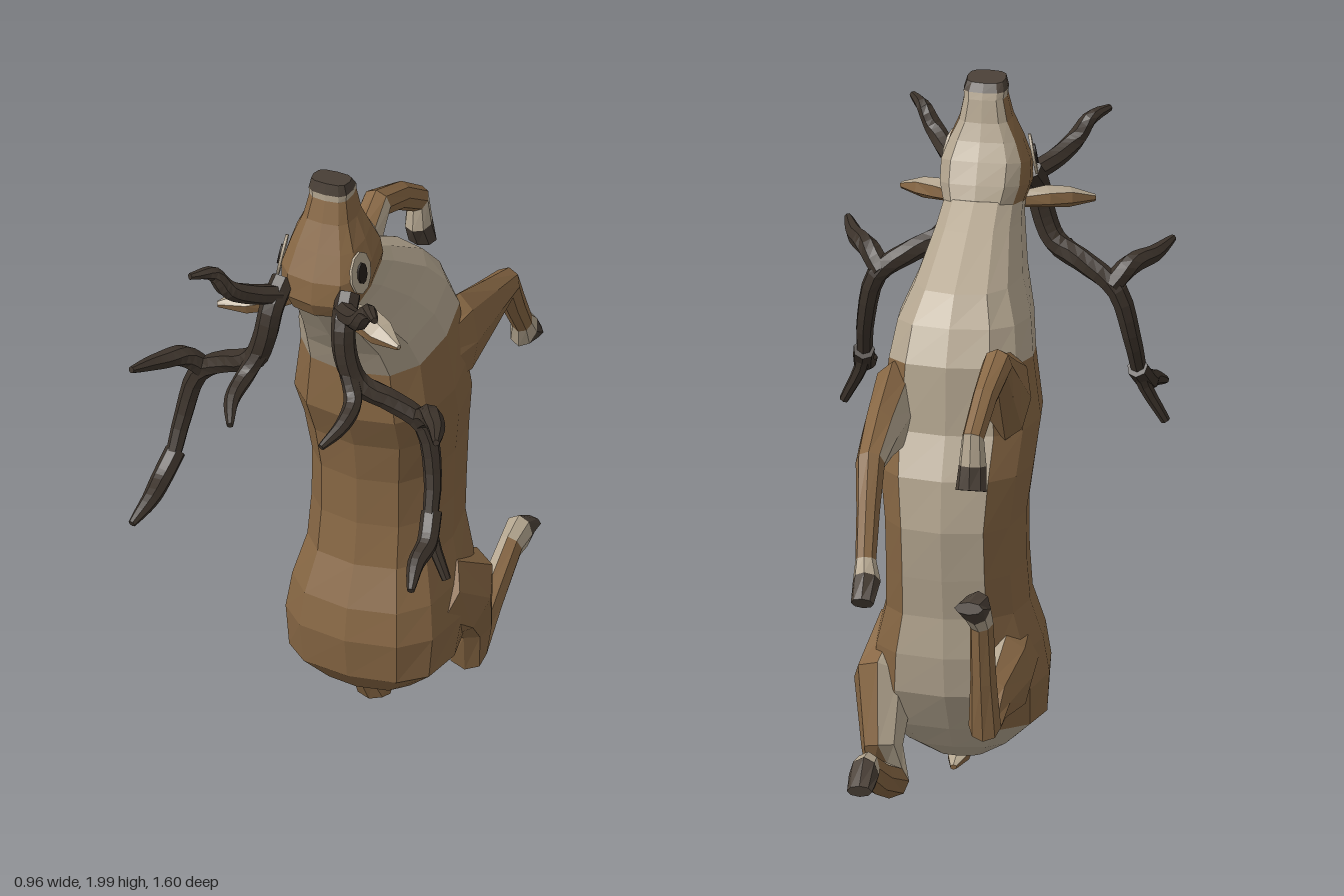
import * as THREE from 'three';

const mat = (name, color) => Object.assign(new THREE.MeshStandardMaterial({ color }), { name });
const COAT = mat('coat brown', 0x876744);
const CREAM = mat('cream', 0xb4a690);
const ANTLER = mat('antler brown', 0x3b322a);
const HOOF = mat('hoof grey', 0x4a4037);
const EYE = mat('eye dark', 0x241d19);

const V = (x, y, z) => new THREE.Vector3(x, y, z);
const X = V(1, 0, 0);
const soft = (v, e) => Math.sign(v) * Math.abs(v) ** e;

// Skins rings { c: centre, u: dorsal half axis, s: side half axis }; pick(i, j) chooses a face's material.
function loft(name, rings, n, pick, squareness = 1) {
  const pts = rings.map(({ c, u, s }) => Array.from({ length: n }, (_, j) => {
    const t = (j / n) * Math.PI * 2;
    return c.clone().addScaledVector(u, soft(Math.cos(t), squareness))
      .addScaledVector(s, soft(Math.sin(t), squareness));
  }));
  const byMaterial = new Map();
  const tri = (m, ...corners) => {
    if (!byMaterial.has(m)) byMaterial.set(m, []);
    corners.forEach((p) => byMaterial.get(m).push(p.x, p.y, p.z));
  };
  const last = rings.length - 1;
  for (let i = 0; i < last; i++) {
    for (let j = 0; j < n; j++) {
      const k = (j + 1) % n, m = pick(i, j);
      tri(m, pts[i][j], pts[i][k], pts[i + 1][k]);
      tri(m, pts[i][j], pts[i + 1][k], pts[i + 1][j]);
    }
  }
  for (let j = 1; j < n - 1; j++) {
    tri(pick(0, j), pts[0][0], pts[0][j + 1], pts[0][j]);
    tri(pick(last - 1, j), pts[last][0], pts[last][j], pts[last][j + 1]);
  }
  const geo = new THREE.BufferGeometry(), positions = [];
  [...byMaterial.values()].forEach((list, g) => {
    geo.addGroup(positions.length / 3, list.length / 3, g);
    list.forEach((v) => positions.push(v));
  });
  geo.setAttribute('position', new THREE.Float32BufferAttribute(positions, 3));
  geo.computeVertexNormals();
  const mesh = new THREE.Mesh(geo, [...byMaterial.keys()]);
  mesh.name = name;
  return mesh;
}

// Trunk ring from dorsal and ventral points in the middle plane and a half width.
const trunkRing = ([dz, dy, vz, vy, w]) => ({
  c: V(0, (dy + vy) / 2, (dz + vz) / 2),
  u: V(0, (dy - vy) / 2, (dz - vz) / 2),
  s: V(w, 0, 0),
});

// Limb along points [x, y, z, half width, half depth], mirrored by side.
function limb(name, path, side, n, pick) {
  const c = path.map(([x, y, z]) => V(x * side, y, z));
  const rings = path.map((p, i) => {
    const T = c[Math.min(i + 1, c.length - 1)].clone().sub(c[Math.max(i - 1, 0)]).normalize();
    const u = X.clone().cross(T).normalize();
    const s = T.clone().cross(u);
    return { c: c[i], u: u.multiplyScalar(p[4]), s: s.multiplyScalar(p[3]) };
  });
  return loft(name, rings, n, pick);
}

// Leg: coat outside, cream inside the upper part, cream pastern and dark hoof.
// A hind leg also has a narrow cream stripe down the inside of its lower part.
function leg(name, side, hind, path) {
  const inner = side > 0 ? [5, 6, 7] : [2, 1, 0];
  const end = path.length - 2;
  return limb(name, path, side, 8, (i, j) => {
    if (i === end) return HOOF;
    if (i === end - 1) return CREAM;
    const stripe = j === inner[2];
    const cream = i < 3 ? inner.includes(j) && (hind || !stripe) : hind && stripe;
    return cream ? CREAM : COAT;
  });
}

// Smooth antler branch, tapering mostly near its tip.
function branch(name, side, points, r0, r1) {
  const curve = new THREE.CatmullRomCurve3(points.map((p) => V(...p)));
  const steps = points.length * 3;
  const path = curve.getPoints(steps).map((p, i) => {
    const r = r0 + (r1 - r0) * (i / steps) ** 3;
    return [p.x, p.y, p.z, r, r];
  });
  return limb(name, path, side, 7, () => ANTLER);
}

// Thin oval plate facing along a normal.
function plate(name, material, centre, normal, w, h) {
  const geo = new THREE.CylinderGeometry(1, 1, 0.008, 10).rotateX(Math.PI / 2).scale(w, h, 1);
  const mesh = new THREE.Mesh(geo, material);
  mesh.name = name;
  mesh.quaternion.setFromUnitVectors(V(0, 0, 1), normal);
  mesh.position.copy(centre);
  return mesh;
}

export function createModel() {
  const model = new THREE.Group();
  model.name = 'stag';

  // Torso from rump to shoulders, with a cream belly strip and rump patch
  const torso = [
    [0.09, 0.09, -0.06, 0.1, 0.07],
    [0.18, 0.14, -0.13, 0.15, 0.155],
    [0.25, 0.22, -0.18, 0.22, 0.24],
    [0.268, 0.35, -0.25, 0.34, 0.252],
    [0.25, 0.45, -0.27, 0.46, 0.238],
    [0.2, 0.57, -0.27, 0.58, 0.205],
    [0.18, 0.7, -0.29, 0.7, 0.2],
    [0.18, 0.85, -0.31, 0.85, 0.2],
    [0.2, 0.98, -0.295, 1.0, 0.218],
    [0.25, 1.1, -0.24, 1.12, 0.228],
    [0.25, 1.26, -0.23, 1.32, 0.205],
  ].map(trunkRing);
  model.add(loft('torso', torso, 12, (i, j) =>
    j === 5 || j === 6 || (i < 2 && j > 3 && j < 8) ? CREAM : COAT, 0.75));

  // Neck
  const neck = [
    [0.25, 1.26, -0.23, 1.32, 0.205],
    [0.3, 1.36, -0.18, 1.42, 0.188],
    [0.38, 1.47, -0.11, 1.5, 0.15],
    [0.46, 1.58, 0.08, 1.62, 0.118],
    [0.49, 1.61, 0.18, 1.68, 0.11],
  ].map(trunkRing);
  model.add(loft('neck', neck, 12, () => CREAM, 0.75));

  // Head pointing up, with cream jaw and muzzle band and a dark nose
  const head = [
    [0.485, 1.6, 0.18, 1.67, 0.11],
    [0.51, 1.65, 0.2, 1.72, 0.126],
    [0.5, 1.72, 0.23, 1.78, 0.127],
    [0.465, 1.8, 0.26, 1.83, 0.105],
    [0.43, 1.88, 0.28, 1.88, 0.076],
    [0.41, 1.945, 0.292, 1.945, 0.062],
    [0.41, 1.965, 0.298, 1.965, 0.064],
    [0.403, 2.0, 0.318, 1.988, 0.056],
  ].map(trunkRing);
  model.add(loft('head', head, 12, (i, j) =>
    i === 6 ? HOOF : i === 5 || (j > 3 && j < 8) ? CREAM : COAT, 0.65));

  for (const side of [1, -1]) {
    // Eyes
    const n = V(0.95 * side, 0.18, 0.22).normalize();
    const at = (d) => V(0.118 * side, 1.745, 0.433).addScaledVector(n, d);
    model.add(plate('eyePatch', CREAM, at(0.002), n, 0.046, 0.064));
    model.add(plate('eye', EYE, at(0.008), n, 0.02, 0.032));

    // Ears, cream on the inner face
    model.add(limb('ear', [
      [0.09, 1.61, 0.43, 0.025, 0.025],
      [0.15, 1.61, 0.465, 0.048, 0.032],
      [0.21, 1.602, 0.495, 0.043, 0.03],
      [0.28, 1.592, 0.53, 0.008, 0.01],
    ], side, 6, (i, j) => (j === 2 || j === 3 ? CREAM : COAT)));

    // Antlers
    const antler = new THREE.Group();
    antler.name = 'antler';
    antler.add(
      branch('beam', side, [[0.1, 1.69, 0.47], [0.11, 1.63, 0.53], [0.125, 1.53, 0.55], [0.16, 1.45, 0.545],
        [0.25, 1.4, 0.52], [0.345, 1.33, 0.505], [0.385, 1.18, 0.53], [0.405, 1.03, 0.59], [0.465, 0.905, 0.62]], 0.036, 0.014),
      branch('browTine', side, [[0.1, 1.66, 0.51], [0.16, 1.69, 0.58], [0.205, 1.73, 0.635], [0.24, 1.785, 0.655], [0.285, 1.8, 0.715]], 0.03, 0.01),
      branch('lowerTine', side, [[0.13, 1.5, 0.55], [0.165, 1.42, 0.59], [0.17, 1.39, 0.68], [0.14, 1.36, 0.765]], 0.028, 0.01),
      branch('middleTine', side, [[0.33, 1.34, 0.5], [0.38, 1.395, 0.54], [0.43, 1.405, 0.61], [0.47, 1.425, 0.705]], 0.032, 0.01),
      branch('endTine', side, [[0.395, 1.08, 0.56], [0.41, 1.02, 0.63], [0.41, 1.0, 0.71], [0.43, 0.965, 0.795]], 0.031, 0.011),
    );
    model.add(antler);
  }

  // Front legs
  model.add(leg('leftFrontLeg', 1, false, [
    [0.1, 1.16, 0.06, 0.07, 0.09], [0.165, 1.17, -0.17, 0.065, 0.14], [0.165, 1.15, -0.36, 0.052, 0.085],
    [0.16, 1.125, -0.52, 0.042, 0.048], [0.15, 1.01, -0.6, 0.034, 0.04], [0.14, 0.89, -0.685, 0.03, 0.034],
    [0.13, 0.84, -0.72, 0.04, 0.054], [0.13, 0.795, -0.785, 0.033, 0.022],
  ]));
  model.add(leg('rightFrontLeg', -1, false, [
    [0.1, 1.18, 0.06, 0.07, 0.09], [0.165, 1.22, -0.15, 0.065, 0.125], [0.175, 1.32, -0.28, 0.05, 0.075],
    [0.18, 1.395, -0.385, 0.044, 0.047], [0.17, 1.34, -0.52, 0.036, 0.042], [0.16, 1.26, -0.635, 0.032, 0.04],
    [0.16, 1.18, -0.64, 0.04, 0.045], [0.16, 1.112, -0.665, 0.045, 0.033],
  ]));

  // Hind legs
  model.add(leg('leftHindLeg', 1, true, [
    [0.16, 0.43, 0.02, 0.1, 0.12], [0.2, 0.33, -0.12, 0.088, 0.135], [0.187, 0.17, -0.215, 0.06, 0.065],
    [0.17, 0.065, -0.215, 0.06, 0.06], [0.17, 0.13, -0.37, 0.043, 0.05], [0.165, 0.215, -0.54, 0.036, 0.047],
    [0.16, 0.22, -0.61, 0.043, 0.054], [0.155, 0.2, -0.7, 0.036, 0.018],
  ]));
  model.add(leg('rightHindLeg', -1, true, [
    [0.14, 0.42, 0.0, 0.09, 0.12], [0.17, 0.4, -0.2, 0.075, 0.12], [0.17, 0.39, -0.4, 0.05, 0.07],
    [0.17, 0.355, -0.515, 0.047, 0.047], [0.17, 0.5, -0.535, 0.038, 0.042], [0.17, 0.68, -0.56, 0.034, 0.044],
    [0.165, 0.742, -0.61, 0.042, 0.05], [0.16, 0.77, -0.7, 0.042, 0.018],
  ]));

  // Tail, cream on the face toward the body
  model.add(limb('tail', [
    [0.01, 0.16, 0.15, 0.035, 0.025], [0.02, 0.095, 0.12, 0.045, 0.025],
    [0.02, 0.06, 0.05, 0.035, 0.02], [0.02, 0.05, -0.02, 0.01, 0.008],
  ], 1, 6, (i, j) => (j === 0 || j === 5 ? CREAM : COAT)));

  return model;
}
